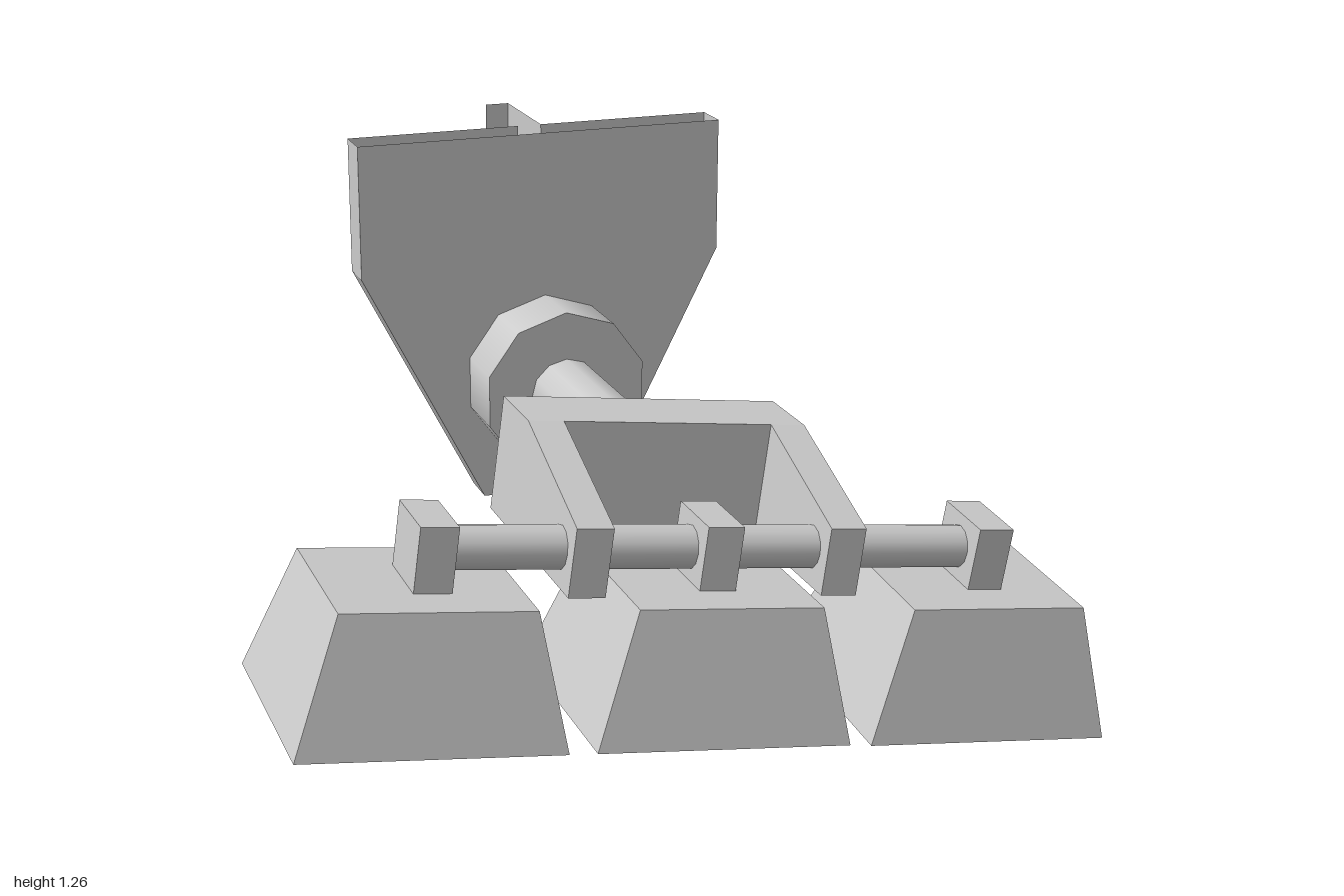
import * as THREE from 'three';

const mat = new THREE.MeshStandardMaterial({ color: 0xcccccc });
const flat = new THREE.MeshStandardMaterial({ color: 0xcccccc, flatShading: true });
const sheet = new THREE.MeshStandardMaterial({ color: 0xcccccc, flatShading: true, side: THREE.DoubleSide });

function add(parent, name, geometry, material, x = 0, y = 0, z = 0) {
  const mesh = new THREE.Mesh(geometry, material);
  mesh.name = name;
  mesh.position.set(x, y, z);
  parent.add(mesh);
  return mesh;
}

const shapeOf = (pts) => new THREE.Shape(pts.map(([x, y]) => new THREE.Vector2(x, y)));

// Open strip that sweeps a polyline of 3D points along an offset
function strip(points, offset) {
  const pos = [];
  const index = [];
  points.forEach(([x, y, z], i) => {
    pos.push(x, y, z, x + offset[0], y + offset[1], z + offset[2]);
    if (i) index.push(2 * i - 2, 2 * i - 1, 2 * i, 2 * i, 2 * i - 1, 2 * i + 1);
  });
  const g = new THREE.BufferGeometry();
  g.setAttribute('position', new THREE.Float32BufferAttribute(pos, 3));
  g.setIndex(index);
  g.computeVertexNormals();
  return g;
}

// Box whose top is narrower than its base
function padGeometry() {
  const g = new THREE.BoxGeometry(0.625, 0.314, 0.54);
  const p = g.attributes.position;
  for (let i = 0; i < p.count; i++) {
    if (p.getY(i) > 0) p.setXYZ(i, p.getX(i) * 0.727, p.getY(i), p.getZ(i) * 0.73);
  }
  g.computeVertexNormals();
  return g;
}

export function createModel() {
  const model = new THREE.Group();
  model.name = 'footAssembly';

  // Mounting plate: thin shell, open along the top, slotted at the fin
  const plate = new THREE.Group();
  plate.name = 'mountingPlate';
  model.add(plate);
  const outline = [[-0.46, 1.26], [-0.46, 0.9], [-0.13, 0.25], [0.22, 0.25], [0.55, 0.9], [0.55, 1.26]];
  const fx0 = 0.01, fx1 = 0.075, zf = -0.53, zb = -0.635;
  add(plate, 'plateFront', new THREE.ShapeGeometry(shapeOf(outline)), sheet, 0, 0, zf);
  add(plate, 'plateRim', strip(outline.map(([x, y]) => [x, y, zf]), [0, 0, zb - zf]), sheet);
  add(plate, 'plateBackRight', new THREE.ShapeGeometry(
    shapeOf([...outline.slice(0, 3), [fx0, 0.25], [fx0, 1.26]])), sheet, 0, 0, zb);
  add(plate, 'plateBackLeft', new THREE.ShapeGeometry(
    shapeOf([[fx1, 1.26], [fx1, 0.25], ...outline.slice(3)])), sheet, 0, 0, zb);

  // Rear fin: one side wall with a folded edge
  const fin = new THREE.Group();
  fin.name = 'rearFin';
  model.add(fin);
  const finSide = new THREE.ShapeGeometry(shapeOf([[0.635, 1.26], [0.635, 0.25], [0.93, 0.73], [0.93, 1.26]]));
  add(fin, 'finSide', finSide.rotateY(Math.PI / 2), sheet, fx1, 0, 0);
  add(fin, 'finEdge', strip([[fx1, 1.26, -0.93], [fx1, 0.73, -0.93], [fx1, 0.25, zb]], [fx0 - fx1, 0, 0]), sheet);

  // Ankle flange and shaft
  const along = (r, len, sides) => new THREE.CylinderGeometry(r, r, len, sides).rotateX(Math.PI / 2);
  add(model, 'flange', along(0.227, 0.18, 10), mat, 0.05, 0.585, -0.44);
  add(model, 'shaft', along(0.098, 0.52, 12), mat, 0.05, 0.585, -0.1);

  // Everything on the fork leans sideways about the shaft
  const fork = new THREE.Group();
  fork.name = 'fork';
  fork.position.set(0.05, 0.53, 0);
  fork.rotation.z = -THREE.MathUtils.degToRad(7.5);
  model.add(fork);

  // Fork bridge and its two tapered arms
  const bridge = new THREE.BoxGeometry(0.54, 0.29, 0.195);
  add(fork, 'forkBridge', bridge, flat, 0, 0.055, 0.2475);
  const armShape = shapeOf([[-0.15, -0.09], [-0.15, 0.2], [-0.345, 0.2], [-0.745, 0.077], [-0.745, -0.09]]);
  for (const side of [-1, 1]) {
    const arm = new THREE.ExtrudeGeometry(armShape, { depth: 0.09, bevelEnabled: false });
    arm.rotateY(Math.PI / 2);
    add(fork, side < 0 ? 'rightArm' : 'leftArm', arm, flat, side * 0.315 - 0.045, 0, 0);
  }

  // Axle through the arms and the pad lugs
  const axle = new THREE.CylinderGeometry(0.052, 0.052, 1.38, 12).rotateZ(Math.PI / 2);
  add(fork, 'axle', axle, mat, 0.01, 0, 0.655);

  // Three foot pads hanging from the axle, the left one tipped forward
  ['rightPad', 'middlePad', 'leftPad'].forEach((name, i) => {
    const toe = new THREE.Group();
    toe.name = name;
    toe.position.set((i - 1) * 0.692, 0, 0.655);
    toe.rotation.x = i === 2 ? 0.055 : 0;
    fork.add(toe);
    add(toe, 'pad', padGeometry(), flat, 0, -0.233, 0);
    add(toe, 'lug', new THREE.BoxGeometry(0.09, 0.16, 0.178), flat, i === 1 ? 0.005 : 0.014, 0, 0);
  });

  return model;
}
